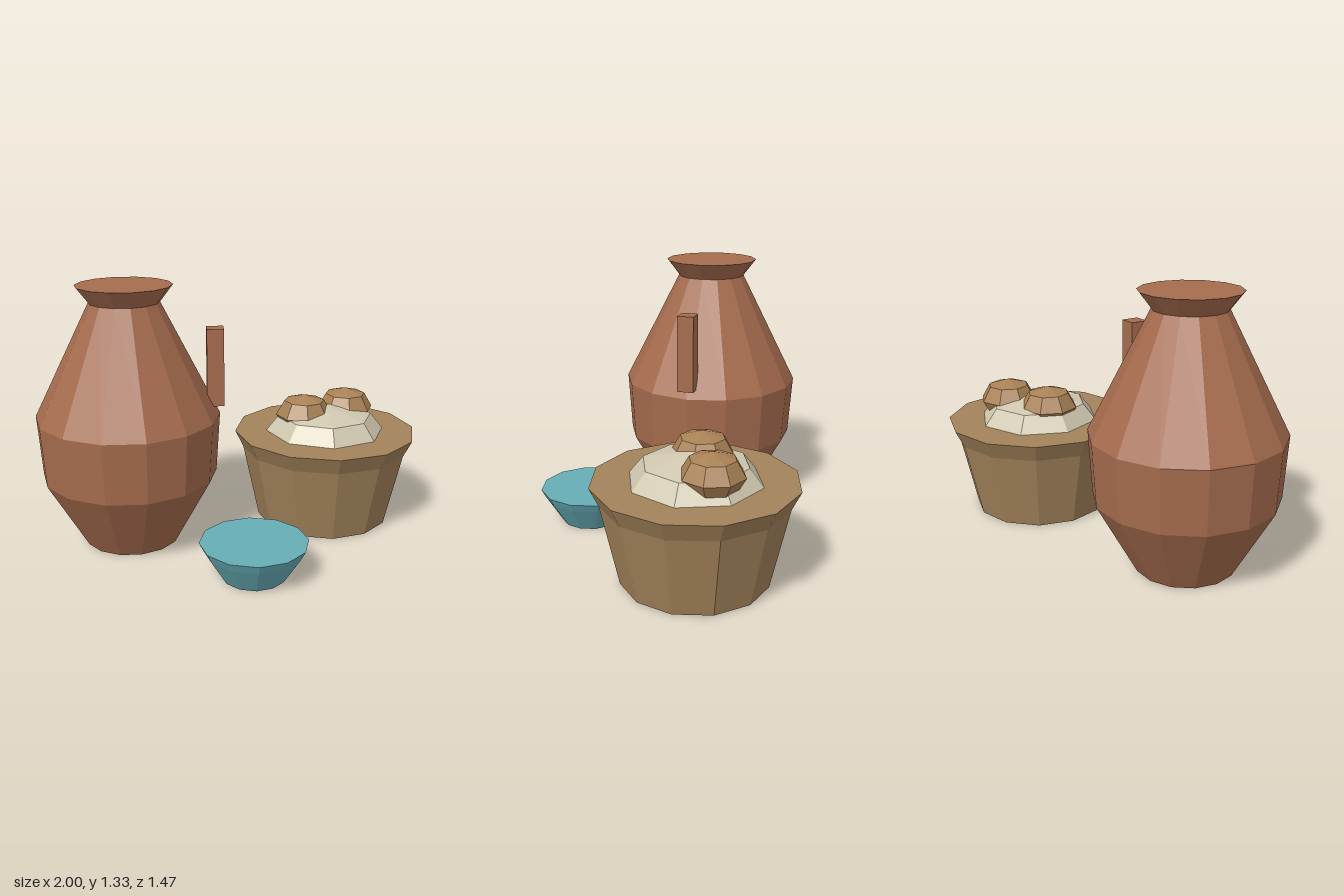
import * as THREE from 'three';

const paint = (name, color, side = THREE.FrontSide) => {
  const m = new THREE.MeshStandardMaterial({ color, flatShading: true, side });
  m.name = name;
  return m;
};

export function createModel() {
  const group = new THREE.Group();
  const clay = paint('terracotta', 0xa66c4e, THREE.DoubleSide);
  const straw = paint('straw', 0xa3835a, THREE.DoubleSide);
  const glaze = paint('tealGlaze', 0x66adb6, THREE.DoubleSide);
  const flour = paint('flour', 0xd0c8b0);
  const crust = paint('crust', 0xa98155);

  const add = (name, geometry, material, x, y, z) => {
    const mesh = new THREE.Mesh(geometry, material);
    mesh.name = name;
    mesh.position.set(x, y, z);
    group.add(mesh);
    return mesh;
  };

  // Vessel: faceted wall with an open foot, closed by a flat top
  const vessel = (name, profile, sides, material, x, z) => {
    const points = profile.map(([r, y]) => new THREE.Vector2(r, y));
    points.push(new THREE.Vector2(0, points[points.length - 1].y));
    const geometry = new THREE.LatheGeometry(points, sides).rotateY(Math.PI / 2);
    return add(name, geometry, material, x, 0, z);
  };

  // Lump: squashed low-poly sphere
  const lump = (name, radius, height, material, x, y, z) =>
    add(name, new THREE.SphereGeometry(radius, 8, 4).scale(1, height / radius, 1), material, x, y, z);

  // Tall jar with flared lip and upright handle
  vessel('jar', [[0.245, 0], [0.445, 0.36], [0.465, 0.67], [0.175, 1.245], [0.24, 1.33]],
    14, clay, -0.535, -0.022);
  add('jarHandle', new THREE.BoxGeometry(0.086, 0.395, 0.086), clay, -0.093, 0.913, -0.022);

  // Basket holding a mound and two loaves
  vessel('basket', [[0.356, 0], [0.444, 0.4], [0.488, 0.49]], 12, straw, 0.512, -0.246);
  lump('flourMound', 0.355, 0.184, flour, 0.512, 0.445, -0.246);
  lump('leftLoaf', 0.152, 0.108, crust, 0.642, 0.58, -0.362);
  lump('rightLoaf', 0.152, 0.108, crust, 0.397, 0.58, -0.246);

  // Small bowl
  vessel('bowl', [[0.157, 0], [0.24, 0.134], [0.264, 0.18]], 12, glaze, 0.064, 0.467);

  return group;
}
